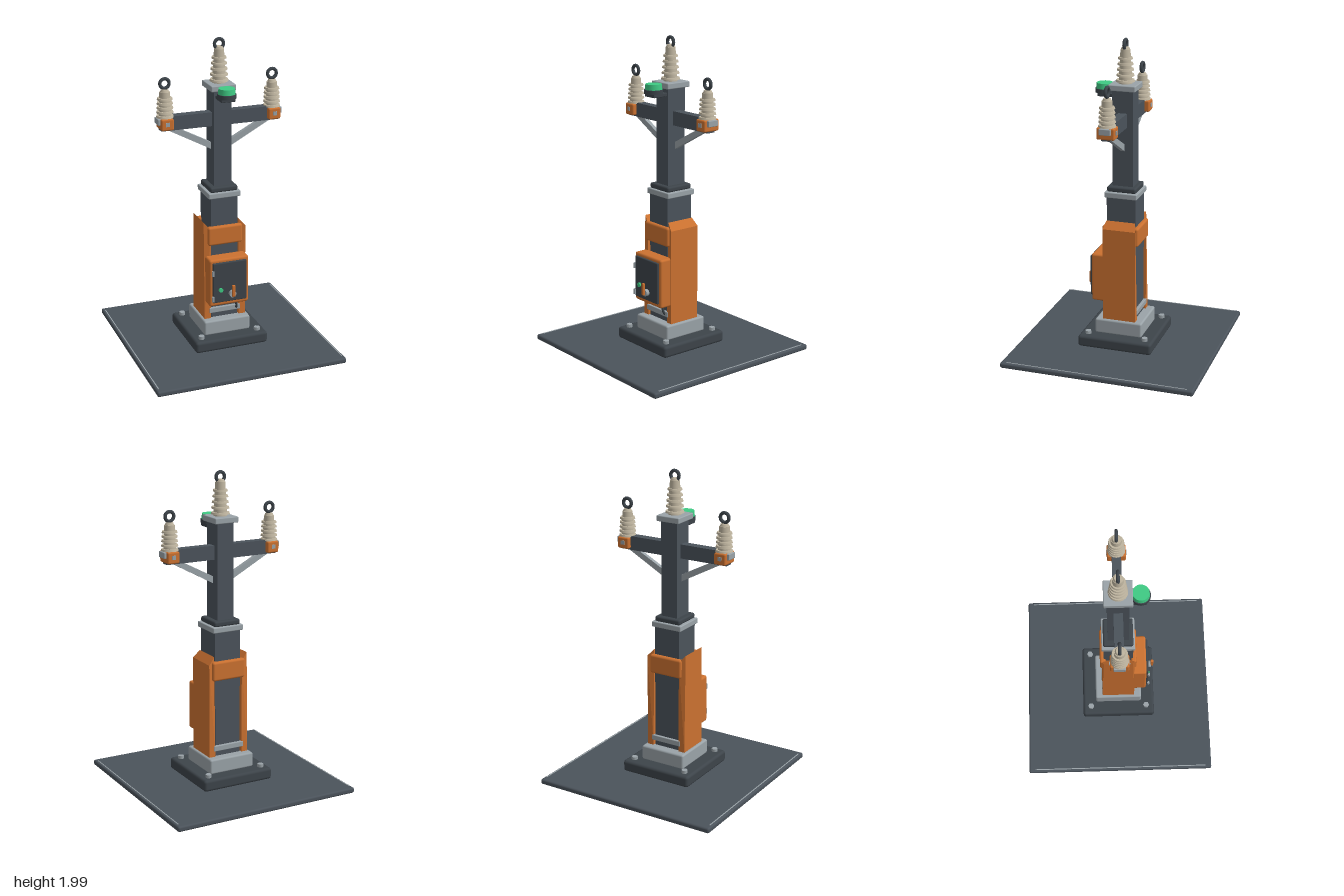
import * as THREE from 'three';
import { RoundedBoxGeometry } from 'three/addons/geometries/RoundedBoxGeometry.js';

const mat = (name, color) => Object.assign(new THREE.MeshStandardMaterial({ color }), { name });

export function createModel() {
  const root = new THREE.Group();
  root.name = 'powerPole';
  const steel = mat('dark steel', 0x4b535b);
  const dark = mat('charcoal', 0x3d444a);
  const grey = mat('light grey', 0x9aa3a8);
  const orange = mat('orange', 0xcb7130);
  const ceramic = mat('ceramic', 0xbfb5a0);
  const green = mat('green', 0x3fca84);

  const add = (name, geo, m, x = 0, y = 0, z = 0, parent = root) => {
    const mesh = new THREE.Mesh(geo, m);
    mesh.name = name;
    mesh.position.set(x, y, z);
    parent.add(mesh);
    return mesh;
  };
  // Box given by its ranges, with optional rounded edges
  const box = (name, m, [x0, x1], [y0, y1], [z0, z1], r = 0) => {
    const s = [x1 - x0, y1 - y0, z1 - z0];
    const g = r ? new RoundedBoxGeometry(...s, 2, r) : new THREE.BoxGeometry(...s);
    return add(name, g, m, (x0 + x1) / 2, (y0 + y1) / 2, (z0 + z1) / 2);
  };
  const sq = (name, m, half, y, r = 0, halfZ = half) =>
    box(name, m, [-half, half], y, [-halfZ, halfZ], r);
  const cyl = (r0, r1, h, n = 20) => new THREE.CylinderGeometry(r0, r1, h, n);

  // Ground plate and plinth
  sq('groundPlate', steel, 0.62, [0.005, 0.04], 0.012);
  for (const s of [-1, 1])
    box('edgeStripe', grey, [s * 0.603 - 0.003, s * 0.603 + 0.003], [0.037, 0.043], [-0.58, 0.58]);
  sq('basePlate', dark, 0.242, [0.04, 0.115], 0.018);
  sq('pedestal', grey, 0.154, [0.11, 0.207], 0.012);
  for (const x of [-0.188, 0.188])
    for (const z of [-0.188, 0.188]) add('anchorBolt', cyl(0.02, 0.02, 0.03, 6), grey, x, 0.12, z);

  // Column
  sq('lowerColumn', steel, 0.088, [0.2, 1.02], 0, 0.094);
  sq('lowerClamp', grey, 0.105, [0.242, 0.277], 0.004, 0.111);
  sq('collar', grey, 0.105, [1.01, 1.046], 0.006);
  sq('upperCollar', dark, 0.09, [1.045, 1.08], 0.012, 0.094);
  sq('upperColumn', steel, 0.057, [1.06, 1.7], 0, 0.066);
  sq('topCap', grey, 0.08, [1.685, 1.722], 0.006, 0.086);

  // Orange side panels with sloping tops, pinched at the top corners
  const slope = new THREE.Shape([
    [-0.021, 0.205], [0.021, 0.205], [0.021, 0.812], [-0.021, 0.858],
  ].map(p => new THREE.Vector2(...p)));
  for (const x of [-0.116, 0.116]) {
    const g = new THREE.ExtrudeGeometry(slope, { depth: 0.214, bevelEnabled: false });
    g.translate(0, 0, -0.107);
    const p = g.attributes.position;
    for (let i = 0; i < p.count; i++) if (p.getY(i) > 0.84) p.setZ(i, p.getZ(i) * 0.88);
    g.computeVertexNormals();
    add('sidePanel', g, orange, x);
  }
  for (const [a, b] of [[0.08, 0.118], [-0.118, -0.08]])
    box('upperBand', orange, [-0.114, 0.114], [0.705, 0.828], [a, b], 0.014);

  // Control cabinet
  box('cabinet', orange, [-0.131, 0.131], [0.322, 0.637], [0.09, 0.184], 0.014);
  box('cabinetDoor', dark, [-0.112, 0.112], [0.35, 0.617], [0.17, 0.198], 0.006);
  for (const y of [0.38, 0.553]) add('hinge', cyl(0.008, 0.008, 0.034, 12), grey, -0.113, y, 0.2);
  add('statusLight', cyl(0.014, 0.014, 0.014), green, -0.063, 0.437, 0.202).rotation.x = Math.PI / 2;
  add('handleHub', cyl(0.022, 0.022, 0.022), grey, 0.012, 0.405, 0.209).rotation.x = Math.PI / 2;
  box('handleLever', orange, [0.003, 0.021], [0.393, 0.47], [0.219, 0.237], 0.004);
  const cable = new THREE.CatmullRomCurve3([
    [0.07, 0.335, 0.12], [0.072, 0.3, 0.122], [0.076, 0.265, 0.114], [0.076, 0.25, 0.095],
  ].map(p => new THREE.Vector3(...p)));
  add('cable', new THREE.TubeGeometry(cable, 12, 0.008, 8), dark);

  // Cross arm, with braces and end brackets
  box('crossArm', steel, [-0.38, 0.38], [1.457, 1.545], [-0.028, 0.028]);
  for (const s of [-1, 1]) {
    const brace = new THREE.Shape([
      [0.05, 1.303], [0.27 + 0.075, 1.462], [0.27, 1.462], [0.05, 1.347],
    ].map(([x, y]) => new THREE.Vector2(s * x, y)));
    add('brace', new THREE.ExtrudeGeometry(brace, { depth: 0.026, bevelEnabled: false }), grey, 0, 0, -0.013);
    const span = (a, b) => [Math.min(s * a, s * b), Math.max(s * a, s * b)];
    box('endBracket', orange, span(0.307, 0.387), [1.465, 1.538], [-0.057, 0.057], 0.01);
    box('endCap', grey, span(0.38, 0.402), [1.497, 1.535], [-0.036, 0.036], 0.004);
    for (const z of [-0.057, 0.057])
      box('bracketPlate', grey, span(0.335, 0.36), [1.492, 1.517], [z - 0.004, z + 0.004]);
  }

  // Insulators: tapering core, five sheds, neck and a ring on top
  const insulator = (x, y, h, r0, r1, ringY) => {
    const g = new THREE.Group();
    g.name = 'insulator';
    g.position.set(x, y, 0);
    root.add(g);
    add('core', cyl(r1 * 0.66, r0 * 0.72, h, 24), ceramic, 0, h / 2, 0, g);
    for (let i = 0; i < 5; i++) {
      const r = r0 + (r1 - r0) * i / 4;
      add('shed', cyl(r * 0.93, r, 0.012, 24), ceramic, 0, h * (0.09 + 0.165 * i), 0, g);
    }
    add('neck', cyl(0.022, 0.03, 0.02, 20), ceramic, 0, h + 0.005, 0, g);
    add('ring', new THREE.TorusGeometry(0.029, 0.0105, 10, 28), dark, 0, ringY - y, 0, g);
  };
  insulator(0, 1.72, 0.21, 0.059, 0.046, 1.96);
  for (const x of [-0.347, 0.347]) insulator(x, 1.53, 0.165, 0.054, 0.048, 1.746);

  // Beacon on its bracket
  box('beaconBracket', dark, [-0.046, 0.046], [1.637, 1.66], [0.05, 0.165], 0.004);
  add('beaconBase', cyl(0.058, 0.058, 0.026, 28), dark, 0, 1.67, 0.132);
  add('beaconLens', cyl(0.05, 0.053, 0.036, 28), green, 0, 1.699, 0.132);
  return root;
}
